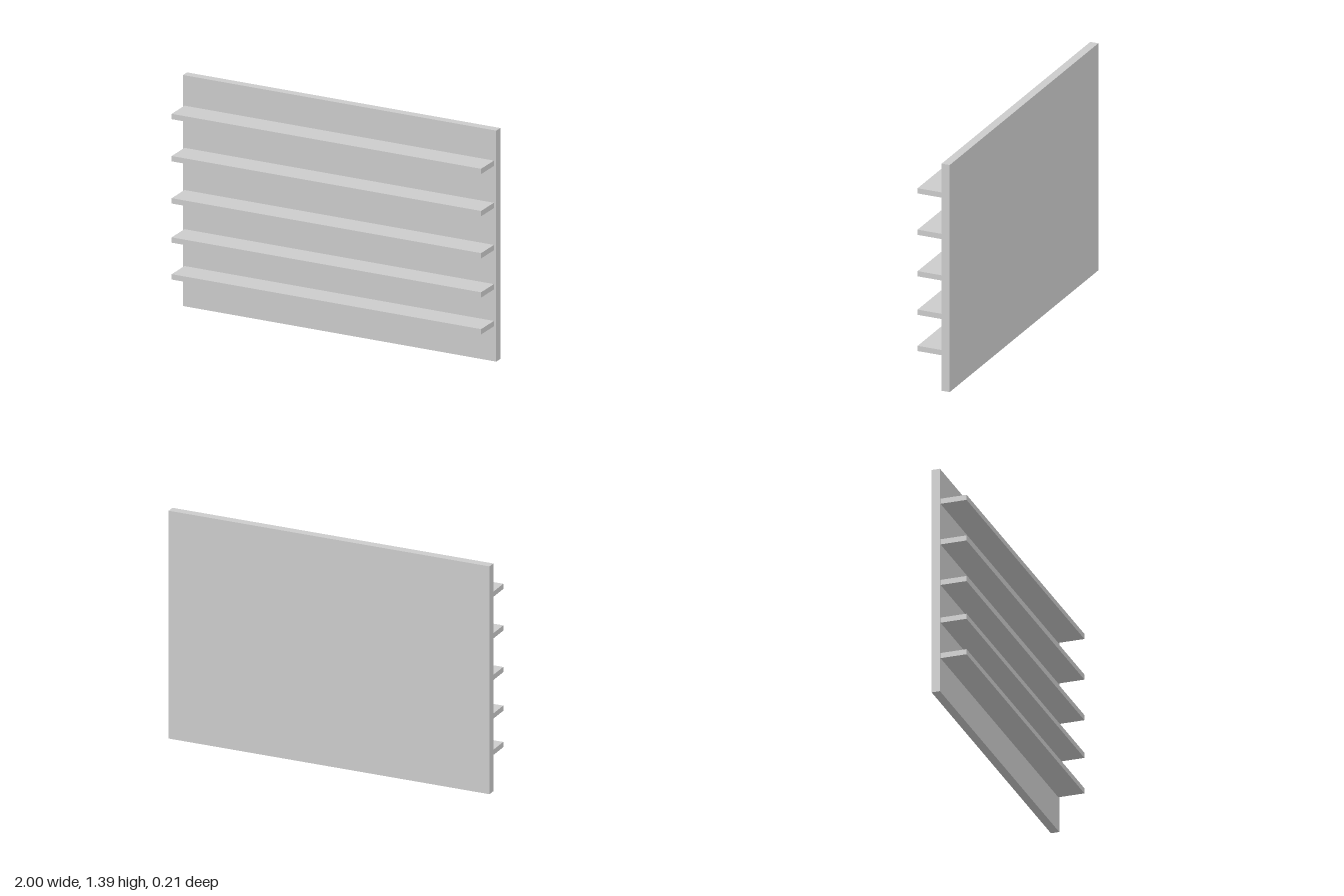
import * as THREE from 'three';

export function createModel() {
  const model = new THREE.Group();
  model.name = 'wallShelf';
  const material = new THREE.MeshStandardMaterial({ color: 0xcccccc });

  const addBox = (name, size, position) => {
    const mesh = new THREE.Mesh(new THREE.BoxGeometry(...size), material);
    mesh.name = name;
    mesh.position.set(...position);
    model.add(mesh);
  };

  // Upright back panel
  const height = 1.386, front = -0.053, depth = 0.103;
  addBox('backPanel', [2, height, depth + front], [0, height / 2, (front - depth) / 2]);

  // Narrow shelves, spaced wider towards the top
  [0.226, 0.447, 0.682, 0.935, 1.188].forEach((y, i) => {
    addBox(`shelf${i + 1}`, [1.975, 0.032, depth - front], [-0.002, y, (depth + front) / 2]);
  });

  return model;
}
